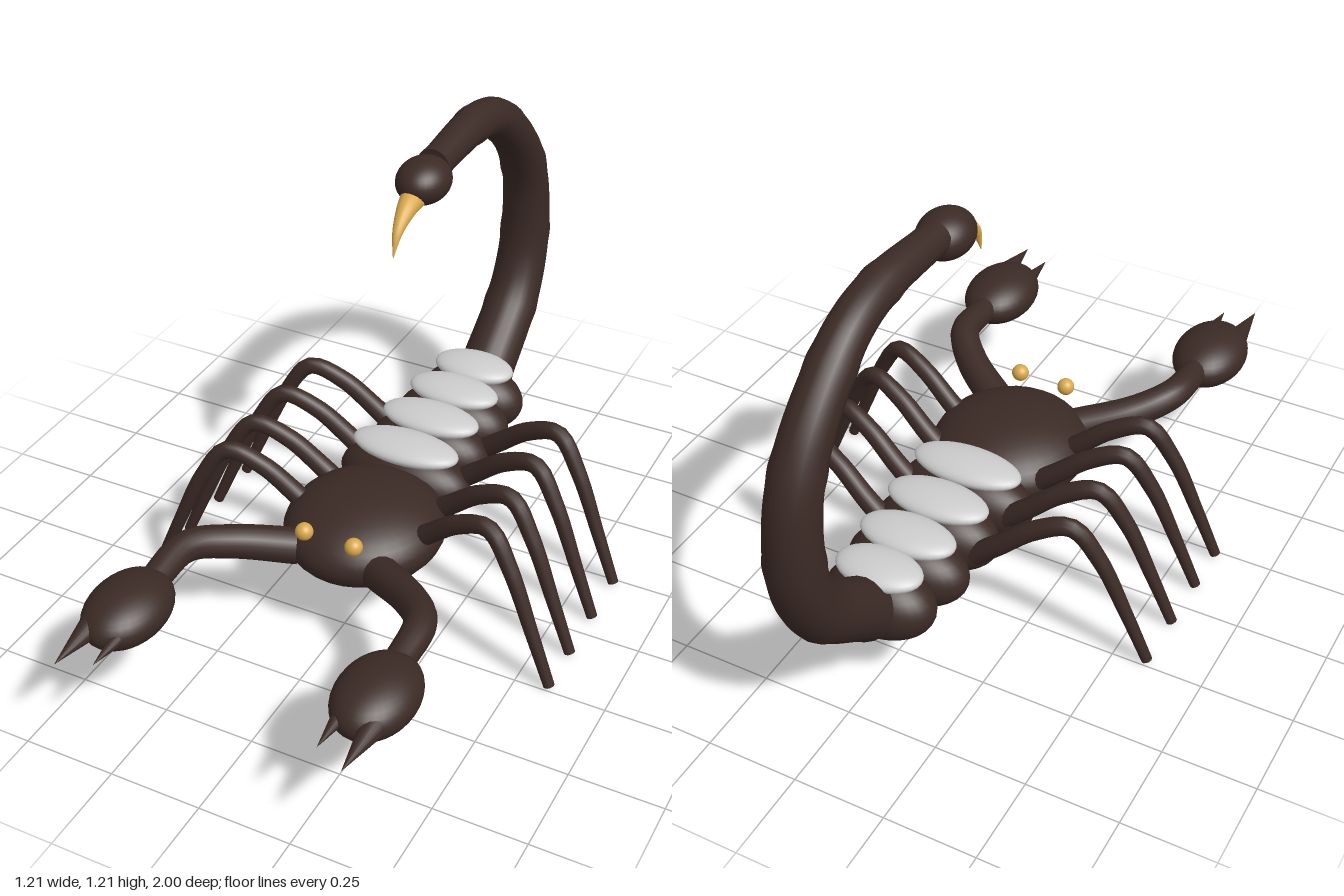
import * as THREE from 'three';

const shell = new THREE.MeshStandardMaterial({ color: 0x3b2a25 });
const gold = new THREE.MeshStandardMaterial({ color: 0xd9a94c });
const grey = new THREE.MeshStandardMaterial({ color: 0xcccccc });

function add(parent, name, geometry, material) {
  const mesh = new THREE.Mesh(geometry, material);
  mesh.name = name;
  parent.add(mesh);
  return mesh;
}

function ellipsoid(parent, name, material, [x, y, z], [rx, ry, rz]) {
  const geometry = new THREE.SphereGeometry(1, 32, 20).scale(rx, ry, rz);
  add(parent, name, geometry, material).position.set(x, y, z);
}

// Tube through the points whose radius follows radiusAt(t), with flat end caps
function taperedTube(parent, name, material, points, radiusAt, steps = 32, sides = 16) {
  const curve = new THREE.CatmullRomCurve3(points.map(p => new THREE.Vector3(...p)));
  const geometry = new THREE.TubeGeometry(curve, steps, 1, sides);
  const pos = geometry.attributes.position;
  const v = new THREE.Vector3();
  for (let i = 0; i < pos.count; i++) {
    const t = Math.floor(i / (sides + 1)) / steps;
    const c = curve.getPointAt(t);
    v.fromBufferAttribute(pos, i).sub(c).multiplyScalar(radiusAt(t)).add(c);
    pos.setXYZ(i, v.x, v.y, v.z);
  }
  const group = new THREE.Group();
  group.name = name;
  parent.add(group);
  add(group, name + 'Tube', geometry, material);
  for (const t of [0, 1]) {
    const cap = add(group, name + 'Cap', new THREE.CircleGeometry(radiusAt(t), sides), material);
    const c = curve.getPointAt(t);
    const outward = curve.getTangentAt(t).multiplyScalar(t ? 1 : -1);
    cap.position.copy(c);
    cap.quaternion.setFromUnitVectors(new THREE.Vector3(0, 0, 1), outward);
  }
}

function createPincerArm(parent, side) {
  const arm = new THREE.Group();
  arm.name = side > 0 ? 'leftPincerArm' : 'rightPincerArm';
  parent.add(arm);
  taperedTube(arm, 'arm', shell, [
    [side * 0.12, 0.25, 0.285], [side * 0.26, 0.285, 0.385],
    [side * 0.335, 0.31, 0.48], [side * 0.345, 0.3, 0.63],
  ], t => 0.05 - 0.012 * t, 24);
  ellipsoid(arm, 'claw', shell, [side * 0.347, 0.293, 0.738], [0.104, 0.073, 0.145]);
  // Two pointed fingers, the outer one longer
  for (const [name, x, r, from, tip] of [
    ['outerFinger', 0.388, 0.036, 0.82, 0.995],
    ['innerFinger', 0.304, 0.026, 0.81, 0.955],
  ]) {
    const cone = new THREE.ConeGeometry(r, tip - from, 16).rotateX(Math.PI / 2);
    add(arm, name, cone, shell).position.set(side * x, 0.297, (from + tip) / 2);
  }
}

function createLeg(parent, side, footZ, index) {
  const name = (side > 0 ? 'leftLeg' : 'rightLeg') + (index + 1);
  taperedTube(parent, name, shell, [
    [side * 0.13, 0.25, footZ - 0.09], [side * 0.2, 0.308, footZ - 0.085],
    [side * 0.29, 0.38, footZ - 0.07], [side * 0.385, 0.412, footZ - 0.05],
    [side * 0.455, 0.32, footZ - 0.03], [side * 0.53, 0.15, footZ - 0.012],
    [side * 0.59, 0.006, footZ],
  ], t => 0.03 - 0.015 * t, 32, 12);
}

export function createModel() {
  const model = new THREE.Group();
  model.name = 'scorpion';

  ellipsoid(model, 'headShield', shell, [0, 0.252, 0.125], [0.217, 0.112, 0.232]);

  // Abdomen segments with a pale plate on each
  const segments = [[-0.12, 0.195, 0.157], [-0.28, 0.176, 0.145], [-0.435, 0.17, 0.135], [-0.577, 0.154, 0.12]];
  segments.forEach(([z, width, plateWidth], i) => {
    ellipsoid(model, 'abdomenSegment' + (i + 1), shell, [0, 0.25, z], [width, 0.1, 0.1]);
    ellipsoid(model, 'backPlate' + (i + 1), grey, [0, 0.349, z], [plateWidth, 0.033, 0.075]);
  });

  // Tail arching over the back, slightly swollen at its joints
  const tailPath = [
    [-0.65, 0.275], [-0.845, 0.435], [-0.905, 0.54], [-0.927, 0.65], [-0.912, 0.815],
    [-0.855, 0.935], [-0.755, 1.045], [-0.65, 1.12], [-0.525, 1.152], [-0.27, 1.143],
  ].map(([z, y]) => [0, y, z]);
  const swelling = t => 0.003 * Math.cos(t * 6 * Math.PI * 2) ** 4 * (Math.cos(t * 12 * Math.PI) > 0 ? 1 : 0);
  taperedTube(model, 'tail', shell, tailPath, t => 0.081 - 0.038 * t ** 1.25 + swelling(t), 96, 20);

  ellipsoid(model, 'venomBulb', shell, [0, 1.126, -0.215], [0.071, 0.06, 0.087]);
  taperedTube(model, 'stinger', gold, [
    [0, 1.107, -0.165], [0, 1.086, -0.11], [0, 1.045, -0.063], [0, 0.985, -0.04],
  ], t => 0.035 * (1 - t) + 0.001, 24);

  for (const side of [-1, 1]) {
    ellipsoid(model, side > 0 ? 'leftEye' : 'rightEye', gold, [side * 0.072, 0.344, 0.328], [0.024, 0.024, 0.024]);
    createPincerArm(model, side);
    [0.235, 0.092, -0.07, -0.232].forEach((z, i) => createLeg(model, side, z, i));
  }
  return model;
}
